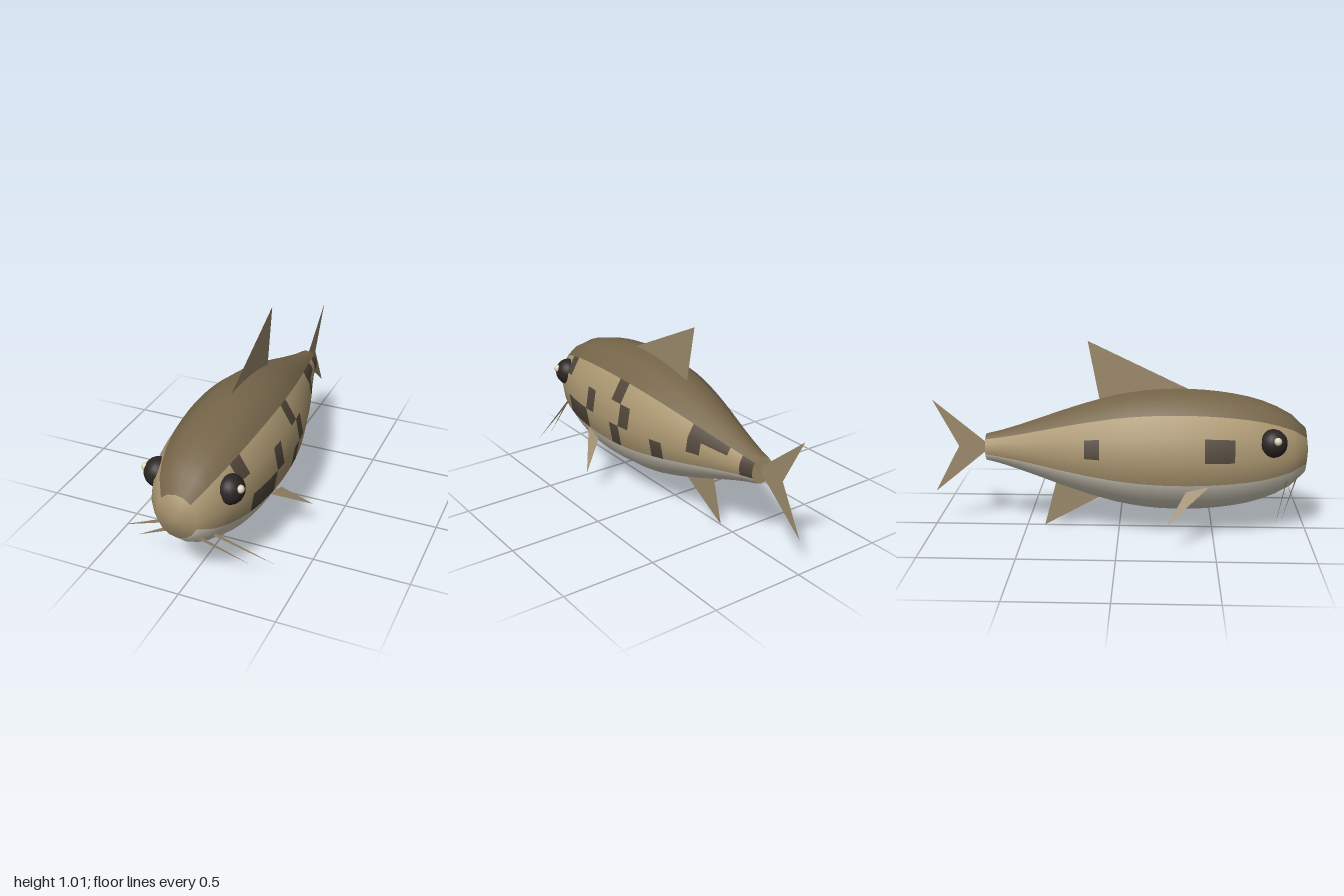
import * as THREE from 'three';

const SIDES = 16, Y0 = 0.445, NOSE_Z = 0.98, TAIL_Z = -0.71, FLAT = 0.883;

// Half height of the body at evenly spaced rings, nose to tail
const HEIGHTS = [0.12, 0.193, 0.235, 0.266, 0.288, 0.303, 0.314, 0.321, 0.325, 0.325, 0.322, 0.315,
  0.304, 0.289, 0.269, 0.247, 0.222, 0.196, 0.168, 0.141, 0.115, 0.091, 0.072];

// Dark patches as 'segment,row' on each flank (rows count down from the back)
const LEFT_PATCHES = new Set(['3,2', '4,4', '5,4', '6,4', '7,3', '10,2', '10,4', '11,3', '14,4',
  '17,2', '17,3', '18,2', '19,2', '21,2', '21,3', '21,4']);
const RIGHT_PATCHES = new Set(['5,3', '6,3', '14,3']);

const material = (color, side = THREE.FrontSide) =>
  new THREE.MeshStandardMaterial({ color, side, roughness: 0.9 });

const MATS = {
  back: material(0x76664a),
  flank: material(0xaa9670),
  belly: material(0xd6cfbf),
  patch: material(0x51463a),
  fin: material(0x9c8a6c, THREE.DoubleSide),
  eye: material(0x2b2523),
  glint: material(0xe0d6bc),
};

function add(parent, name, geometry, mat) {
  const mesh = new THREE.Mesh(geometry, mat);
  mesh.name = name;
  parent.add(mesh);
  return mesh;
}

// Thin flat triangle through three points
function triangle(a, b, c) {
  const g = new THREE.BufferGeometry().setFromPoints([a, b, c].map((p) => new THREE.Vector3(...p)));
  g.computeVertexNormals();
  return g;
}

// Flat fin in the middle plane, outline given as [z, y]
function midFin(outline) {
  const shape = new THREE.Shape(outline.map(([z, y]) => new THREE.Vector2(-z, y)));
  return new THREE.ShapeGeometry(shape).rotateY(Math.PI / 2);
}

// Lofted body: shared smooth vertices, one index list per colour
function buildBody() {
  const body = new THREE.Group();
  body.name = 'body';
  const segments = HEIGHTS.length - 1;
  const positions = [];
  HEIGHTS.forEach((r, i) => {
    const z = THREE.MathUtils.lerp(NOSE_Z, TAIL_Z, i / segments);
    for (let j = 0; j < SIDES; j++) {
      const a = (j / SIDES) * Math.PI * 2;
      positions.push(Math.sin(a) * r * FLAT, Y0 + Math.cos(a) * r, z);
    }
  });
  const tip = positions.length / 3;
  positions.push(0, Y0, 1);

  const faces = { back: [], flank: [], belly: [], patch: [] };
  for (let j = 0; j < SIDES; j++) {
    const k = (j + 1) % SIDES;
    const onLeft = j < SIDES / 2;
    const row = onLeft ? j : SIDES - 1 - j;
    faces.flank.push(tip, k, j);
    for (let i = 0; i < segments; i++) {
      const a = i * SIDES + j, b = i * SIDES + k, c = a + SIDES, d = b + SIDES;
      const patched = (onLeft ? LEFT_PATCHES : RIGHT_PATCHES).has(`${i},${row}`);
      const zone = patched ? 'patch' : row < 2 ? 'back' : row < 5 ? 'flank' : 'belly';
      faces[zone].push(a, b, c, b, d, c);
    }
  }

  const whole = new THREE.BufferGeometry();
  whole.setAttribute('position', new THREE.Float32BufferAttribute(positions, 3));
  whole.setIndex(Object.values(faces).flat());
  whole.computeVertexNormals();
  for (const zone in faces) {
    const g = new THREE.BufferGeometry();
    g.setAttribute('position', whole.attributes.position);
    g.setAttribute('normal', whole.attributes.normal);
    g.setIndex(faces[zone]);
    add(body, zone, g, MATS[zone]);
  }

  // Flat end of the tail stem
  const r = HEIGHTS[segments];
  const cap = new THREE.CircleGeometry(r, SIDES).rotateY(Math.PI).scale(FLAT, 1, 1);
  add(body, 'tailStemEnd', cap.translate(0, Y0, TAIL_Z), MATS.flank);
  return body;
}

export function createModel() {
  const fish = new THREE.Group();
  fish.name = 'fish';
  fish.add(buildBody());

  // Fins in the middle plane
  add(fish, 'dorsalFin', midFin([[0.37, 0.765], [-0.165, 1.02], [-0.105, 0.71], [-0.1, 0.66]]), MATS.fin);
  add(fish, 'analFin', midFin([[-0.07, 0.19], [-0.1, 0.27], [-0.34, 0.3], [-0.34, 0.255], [-0.405, 0.005]]), MATS.fin);
  add(fish, 'tailFin', midFin([[-0.685, Y0], [-0.995, 0.7], [-0.86, Y0], [-0.995, 0.19]]), MATS.fin);

  // Paired parts
  for (const [s, side] of [[1, 'left'], [-1, 'right']]) {
    const eye = new THREE.SphereGeometry(0.074, 20, 14).scale(0.93, 1, 1);
    add(fish, `${side}Eye`, eye, MATS.eye).position.set(s * 0.188, 0.53, 0.792);
    add(fish, `${side}EyeGlint`, new THREE.SphereGeometry(0.021, 12, 8), MATS.glint)
      .position.set(s * 0.245, 0.555, 0.81);

    add(fish, `${side}PectoralFin`, triangle(
      [s * 0.255, 0.315, 0.47], [s * 0.265, 0.288, 0.35], [s * 0.405, 0.157, 0.255]), MATS.fin);

    // Whiskers: slim upright blades
    add(fish, `${side}FrontWhisker`, triangle(
      [s * 0.085, 0.333, 0.935], [s * 0.085, 0.31, 0.935], [s * 0.297, 0.158, 0.835]), MATS.fin);
    add(fish, `${side}RearWhisker`, triangle(
      [s * 0.125, 0.333, 0.88], [s * 0.125, 0.31, 0.88], [s * 0.405, 0.158, 0.79]), MATS.fin);
  }
  return fish;
}
